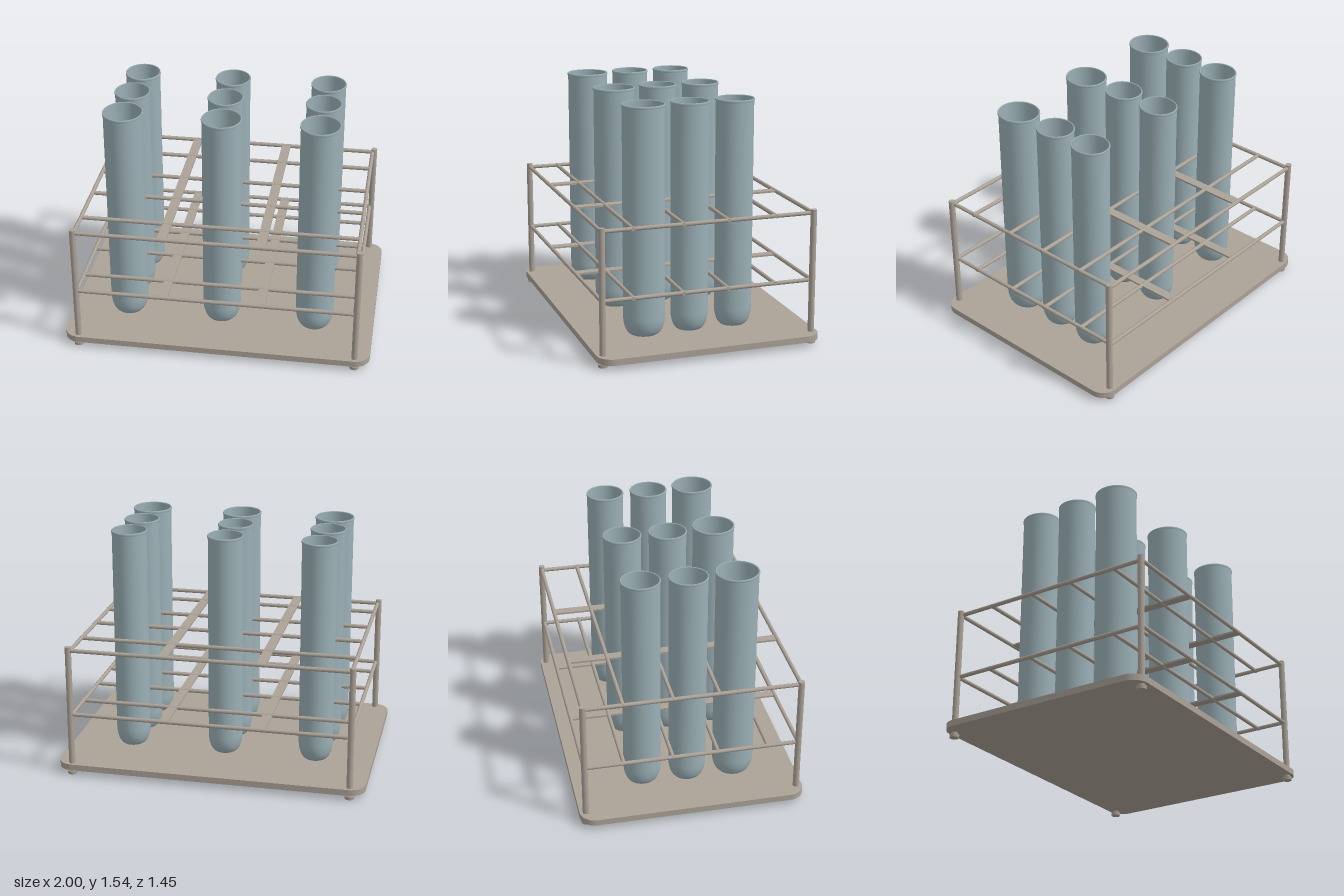
import * as THREE from 'three';

const metal = new THREE.MeshStandardMaterial({ color: 0xaba297 });
metal.name = 'warm grey metal';
const glass = new THREE.MeshStandardMaterial({ color: 0x9bb0b6 });
glass.name = 'blue grey glass';

function add(parent, name, geometry, material, x = 0, y = 0, z = 0) {
  const mesh = new THREE.Mesh(geometry, material);
  mesh.name = name;
  mesh.position.set(x, y, z);
  parent.add(mesh);
  return mesh;
}

// Flat plate with rounded corners, lying in xz
function plateGeometry(hx, hz, r, depth) {
  const s = new THREE.Shape();
  s.moveTo(-hx + r, -hz);
  s.absarc(hx - r, -hz + r, r, -Math.PI / 2, 0);
  s.absarc(hx - r, hz - r, r, 0, Math.PI / 2);
  s.absarc(-hx + r, hz - r, r, Math.PI / 2, Math.PI);
  s.absarc(-hx + r, -hz + r, r, Math.PI, Math.PI * 1.5);
  return new THREE.ExtrudeGeometry(s, { depth, bevelEnabled: false, curveSegments: 10 }).rotateX(-Math.PI / 2);
}

// Hollow tube: outside from the rounded bottom up, over the lip, and down inside
function tubeGeometry() {
  const p = [[0, 0.078], [0.55, 0.078]];
  for (let i = 1; i <= 8; i++) {
    const a = (i / 8) * Math.PI / 2;
    p.push([0.55 + 0.42 * Math.sin(a), 0.198 - 0.12 * Math.cos(a)]);
  }
  p.push([0.97, 1.525], [1, 1.53], [1, 1.54], [0.97, 1.545], [0.91, 1.54], [0.91, 0.2]);
  for (let i = 1; i <= 6; i++) {
    const a = (i / 6) * Math.PI / 2;
    p.push([0.53 + 0.38 * Math.cos(a), 0.2 - 0.11 * Math.sin(a)]);
  }
  p.push([0, 0.09]);
  return new THREE.LatheGeometry(p.map(([x, y]) => new THREE.Vector2(x, y)), 40);
}

export function createModel() {
  const model = new THREE.Group();
  model.name = 'testTubeRack';
  const px = 0.905, pz = 0.685;

  add(model, 'basePlate', plateGeometry(1, 0.725, 0.1, 0.04), metal, 0, 0.035, 0);

  // Corner posts with stepped feet
  const post = new THREE.CylinderGeometry(0.02, 0.02, 0.8, 16);
  const foot = new THREE.CylinderGeometry(0.031, 0.029, 0.022, 20);
  const neck = new THREE.CylinderGeometry(0.02, 0.02, 0.02, 16);
  for (const sx of [-1, 1]) for (const sz of [-1, 1]) {
    add(model, 'cornerPost', post, metal, sx * px, 0.47, sz * pz);
    add(model, 'foot', foot, metal, sx * px, 0.011, sz * pz);
    add(model, 'footNeck', neck, metal, sx * px, 0.028, sz * pz);
  }

  // Two identical tiers of rails, cross rods and flat dividers
  const longRod = new THREE.CylinderGeometry(0.013, 0.013, 2 * px, 12).rotateZ(Math.PI / 2);
  const sideRod = new THREE.CylinderGeometry(0.013, 0.013, 2 * pz, 12).rotateX(Math.PI / 2);
  const strip = new THREE.BoxGeometry(0.06, 0.012, 2 * pz);
  for (const y of [0.412, 0.846]) {
    const tier = new THREE.Group();
    tier.name = 'railTier';
    tier.position.y = y;
    model.add(tier);
    for (const z of [-pz, pz]) add(tier, 'longRail', longRod, metal, 0, 0, z);
    for (const z of [-0.437, -0.125, 0.165, 0.487]) add(tier, 'crossRod', longRod, metal, 0, 0, z);
    for (const x of [-px + 0.007, px - 0.012]) add(tier, 'sideRail', sideRod, metal, x, 0, 0);
    for (const x of [-0.335, 0.29]) add(tier, 'divider', strip, metal, x, 0, 0);
  }

  // Three rows of tubes, the front row slightly wider
  const tube = tubeGeometry();
  const rows = [
    { z: 0.328, rx: 0.128, rz: 0.137, xs: [-0.633, -0.008, 0.61] },
    { z: 0.024, rx: 0.115, rz: 0.124, xs: [-0.635, -0.029, 0.6] },
    { z: -0.27, rx: 0.115, rz: 0.124, xs: [-0.625, -0.024, 0.604] },
  ];
  for (const row of rows) for (const x of row.xs) {
    add(model, 'testTube', tube, glass, x, 0, row.z).scale.set(row.rx, 1, row.rz);
  }
  return model;
}
